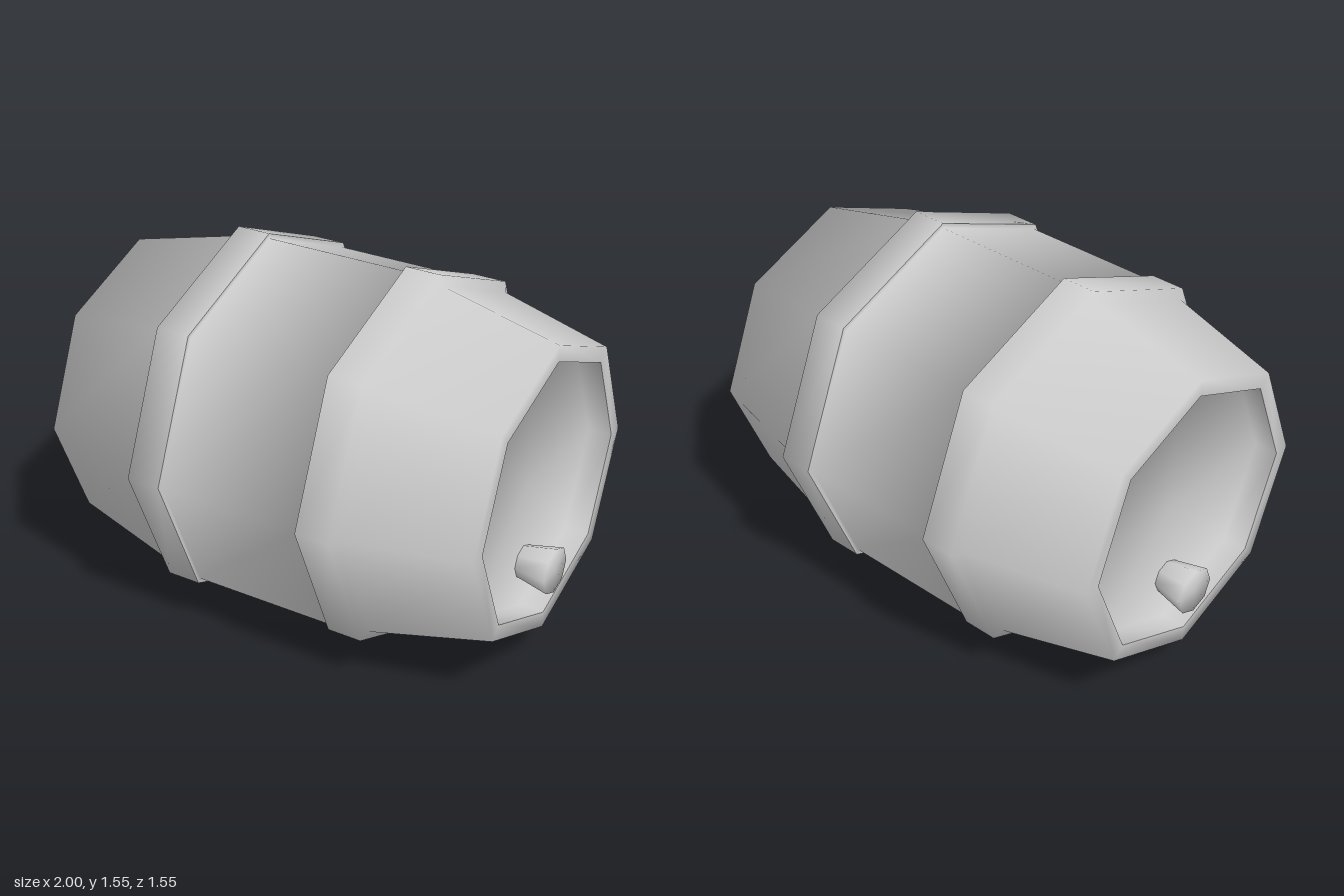
import * as THREE from 'three';

const material = new THREE.MeshStandardMaterial({ color: 0xcccccc });

// Eight-sided lathe lying along x. Points are [x, radius]; normals are smooth
// along the profile, each neighbouring segment weighing the same.
function turned(name, profile) {
  const points = profile.map(([x, r]) => new THREE.Vector2(r, x));
  const geometry = new THREE.LatheGeometry(points, 8);
  const segments = points.slice(1).map((p, i) =>
    new THREE.Vector2(p.y - points[i].y, points[i].x - p.x).normalize());
  const normals = points.map((p, i) => {
    const n = new THREE.Vector2();
    if (i > 0) n.add(segments[i - 1]);
    if (i < segments.length) n.add(segments[i]);
    return n.normalize();
  });
  const attribute = geometry.attributes.normal;
  for (let i = 0; i < attribute.count; i++) {
    const angle = Math.floor(i / points.length) * Math.PI / 4;
    const n = normals[i % points.length];
    attribute.setXYZ(i, n.x * Math.sin(angle), n.y, n.x * Math.cos(angle));
  }
  geometry.rotateZ(-Math.PI / 2);
  const mesh = new THREE.Mesh(geometry, material);
  mesh.name = name;
  return mesh;
}

// One half of the barrel: hoop, tapering staves with rim, sunken head, plug
function barrelEnd(name) {
  const end = new THREE.Group();
  end.name = name;
  const staves = turned('hoopAndStaves', [
    [0.31, 0.775], [0.455, 0.775], [0.475, 0.73], [0.96, 0.612], [0.96, 0.545],
  ]);
  const head = turned('sunkenHead', [[0.96, 0.545], [0.86, 0.545], [0.86, 0]]);
  const plug = turned('plug', [[0.86, 0.068], [1, 0.098], [1, 0]]);
  plug.position.y = -0.34;
  end.add(staves, head, plug);
  return end;
}

export function createModel() {
  const barrel = new THREE.Group();
  barrel.name = 'barrel';

  // Middle section between the two hoops, with the small steps up to them
  barrel.add(turned('middle', [
    [-0.31, 0.775], [-0.31, 0.755], [0.31, 0.755], [0.31, 0.775],
  ]));

  const leftEnd = barrelEnd('leftEnd');
  const rightEnd = barrelEnd('rightEnd');
  rightEnd.rotation.y = Math.PI;
  barrel.add(leftEnd, rightEnd);

  barrel.children.forEach((part) => { part.position.y = 0.775; });
  return barrel;
}
